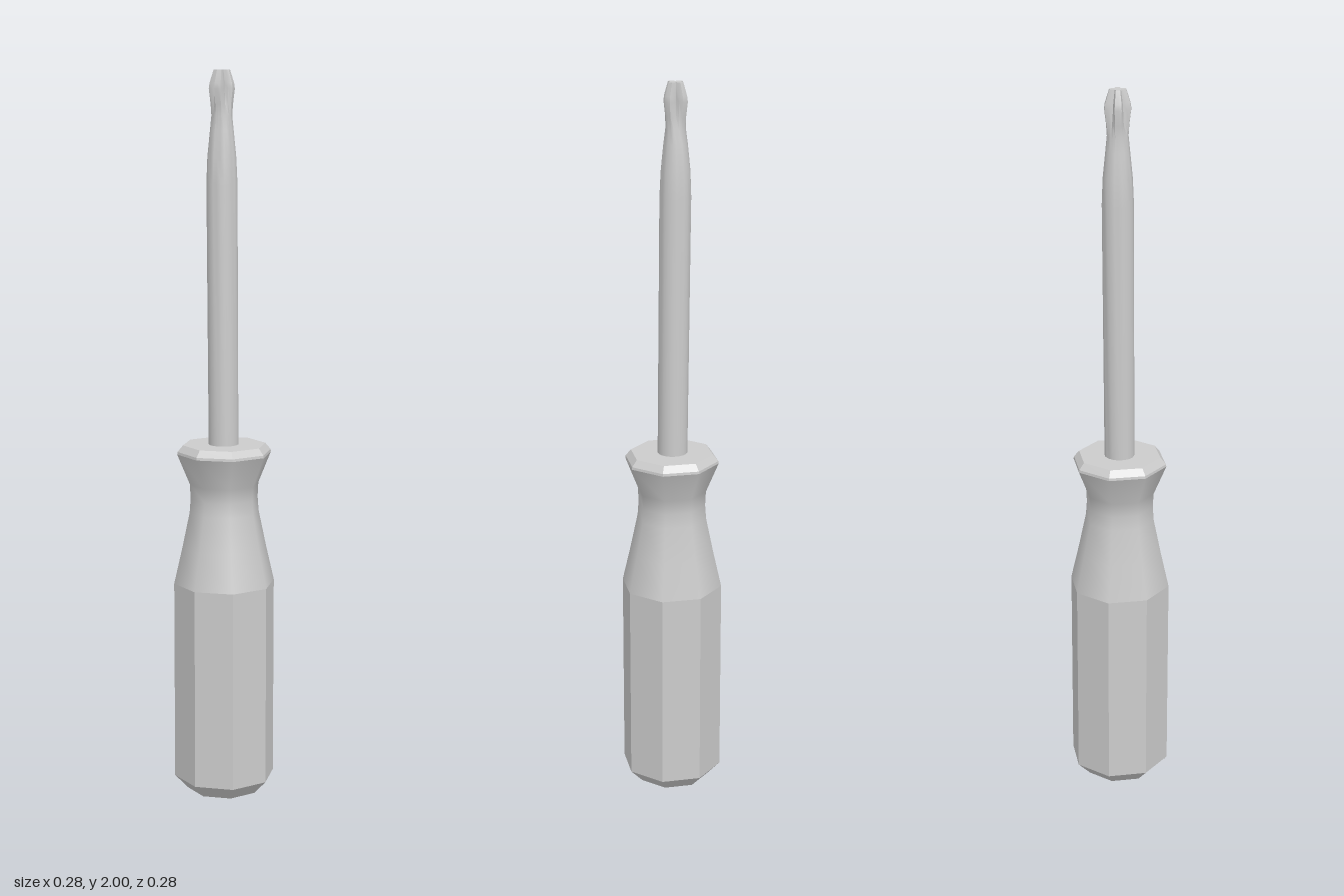
import * as THREE from 'three';
import { toCreasedNormals } from 'three/addons/utils/BufferGeometryUtils.js';

const material = new THREE.MeshStandardMaterial({ color: 0xcccccc });

const lathe = (profile, sides) =>
  new THREE.LatheGeometry(profile.map(([r, y]) => new THREE.Vector2(r, y)), sides);

function part(name, geometry) {
  const mesh = new THREE.Mesh(geometry, material);
  mesh.name = name;
  return mesh;
}

// Moves every vertex of a lathe to cut four flutes near the tip and lean the shaft slightly
function shapeShaft(geometry, sides) {
  const pos = geometry.attributes.position;
  const flute = [1, 1, 1, 0.74, 0.5, 0.74];
  const p = new THREE.Vector3();
  for (let i = 0; i < pos.count; i++) {
    p.fromBufferAttribute(pos, i);
    const turn = Math.round((Math.atan2(p.x, p.z) / (2 * Math.PI)) * sides + sides) % sides;
    const depth = THREE.MathUtils.smoothstep(p.y, 1.86, 1.95);
    const k = 1 - depth * (1 - flute[turn % 6]);
    const lean = THREE.MathUtils.clamp((p.y - 0.95) / 0.8, 0, 1);
    pos.setXYZ(i, p.x * k + 0.003 * lean, p.y, p.z * k - 0.002 - 0.008 * lean);
  }
  return geometry;
}

export function createModel() {
  const model = new THREE.Group();

  // Handle: crisp octagonal grip, smooth waist, bevelled collar
  const handle = new THREE.Group();
  handle.name = 'handle';
  const grip = lathe([[0, 0], [0.103, 0], [0.141, 0.04], [0.141, 0.6]], 8);
  const waist = lathe([[0.141, 0.6], [0.118, 0.7], [0.097, 0.8], [0.094, 0.84], [0.096, 0.88], [0.131, 0.965]], 8);
  const collar = lathe([[0.131, 0.965], [0.13, 0.972], [0.115, 0.99], [0, 0.99]], 8);
  handle.add(
    part('grip', toCreasedNormals(grip, 0.5)),
    part('waist', waist),
    part('collar', toCreasedNormals(collar, 0.4)),
  );

  // Round shaft tapering into a cross-shaped bit
  const sides = 24;
  const shaft = lathe([
    [0, 0.95], [0.041, 0.95], [0.042, 1.7], [0.039, 1.77], [0.032, 1.84], [0.028, 1.88],
    [0.03, 1.91], [0.035, 1.95], [0.033, 1.965], [0.022, 2], [0, 2],
  ], sides);
  const bit = part('shaft', toCreasedNormals(shapeShaft(shaft, sides), 0.6));

  model.add(handle, bit);
  return model;
}
